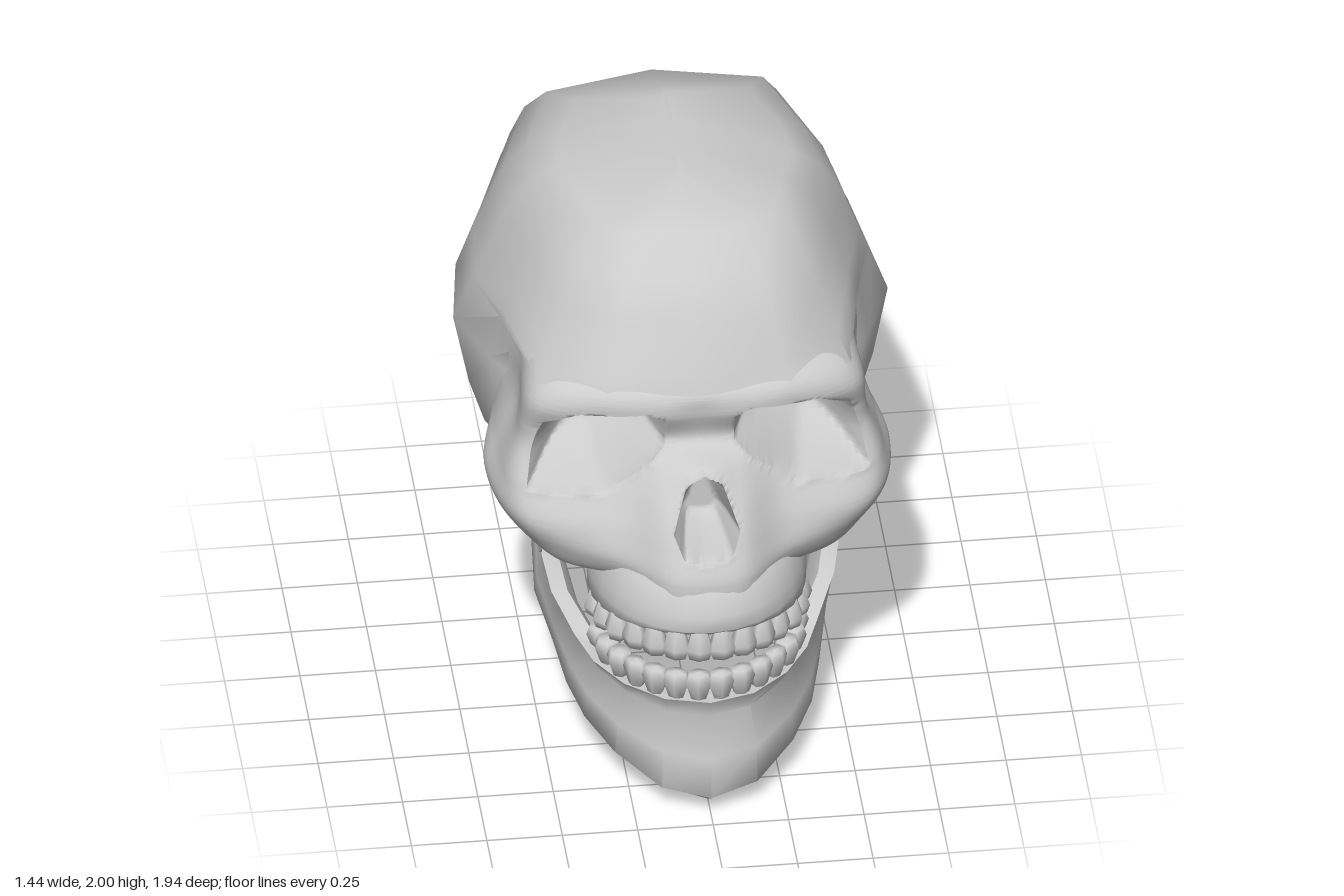
import * as THREE from 'three';
import { toCreasedNormals } from 'three/addons/utils/BufferGeometryUtils.js';

const V = (x, y, z) => new THREE.Vector3(x, y, z);
const clamp = THREE.MathUtils.clamp;
const material = new THREE.MeshStandardMaterial({ color: 0xcccccc, side: THREE.DoubleSide });

function addMesh(parent, name, geometry) {
  const mesh = new THREE.Mesh(geometry, material);
  mesh.name = name;
  parent.add(mesh);
  return mesh;
}

// Skin over equal-length cross-sections; winding is turned outward from the bounding-box centre.
function loft(sections, { closed = true, caps = true, crease = 1.0 } = {}) {
  const n = sections[0].length, pts = sections.flat(), index = [];
  const span = closed ? n : n - 1;
  for (let i = 0; i < sections.length - 1; i++) {
    for (let j = 0; j < span; j++) {
      const a = i * n + j, b = i * n + (j + 1) % n;
      index.push(a, b, a + n, b, b + n, a + n);
    }
  }
  if (caps) {
    [0, sections.length - 1].forEach((s) => {
      const mid = V(0, 0, 0);
      sections[s].forEach((p) => mid.addScaledVector(p, 1 / n));
      pts.push(mid);
      for (let j = 0; j < n; j++) {
        const a = s * n + j, b = s * n + (j + 1) % n;
        index.push(pts.length - 1, s ? a : b, s ? b : a);
      }
    });
  }
  const centre = new THREE.Box3().setFromPoints(pts).getCenter(V(0, 0, 0));
  let volume = 0;
  for (let k = 0; k < index.length; k += 3) {
    const [a, b, c] = [0, 1, 2].map((m) => pts[index[k + m]].clone().sub(centre));
    volume += a.dot(b.cross(c));
  }
  if (volume < 0) index.reverse();
  const geometry = new THREE.BufferGeometry().setFromPoints(pts);
  geometry.setIndex(index);
  return toCreasedNormals(geometry, crease);
}

// Braincase: horizontal rings [y, front z, back z, forehead half-width, greatest half-width]
function cranium() {
  const rows = [
    [2.0, 0.1, -0.36, 0.01, 0.01], [1.93, 0.36, -0.51, 0.29, 0.39], [1.835, 0.475, -0.72, 0.37, 0.485],
    [1.7, 0.55, -0.845, 0.43, 0.565], [1.55, 0.62, -0.92, 0.48, 0.62], [1.48, 0.645, -0.935, 0.515, 0.645],
    [1.44, 0.6, -0.945, 0.52, 0.66], [1.27, 0.6, -0.975, 0.52, 0.72], [1.02, 0.55, -0.9, 0.5, 0.67],
    [0.87, 0.5, -0.81, 0.44, 0.62], [0.8, -0.05, -0.765, 0.36, 0.59], [0.72, -0.09, -0.71, 0.31, 0.49],
    [0.62, -0.13, -0.64, 0.25, 0.36], [0.51, -0.5, -0.58, 0.06, 0.12],
  ];
  return loft(rows.map(([y, zF, zB, wF, wM]) => {
    const cut = y < 1.47 ? 0.24 : 9; // leaves room for the eye sockets
    const round = y > 1.5 ? 0.11 : 0.085; // how far the forehead corner lies back
    const at = (t) => zF + (zB - zF) * t;
    const half = [
      [0, Math.min(zF, cut)], [0.6 * wF, Math.min(at(0.02), cut)], [wF, Math.min(at(round), cut)],
      [wF + (wM - wF) * 0.55, at(0.35)], [wM, at(0.5)], [0.94 * wM, at(0.69)], [0.74 * wM, at(0.93)], [0, zB],
    ];
    const left = half.slice(1, -1).reverse().map(([x, z]) => [-x, z]);
    return [...half, ...left].map(([x, z]) => V(x, y, z));
  }), { crease: 1.5 });
}

// Signed distance to an outline (positive inside) and the nearest outline point
function outlineDistance(outline, x, y) {
  let best = 1e9, near = null, inside = false;
  outline.forEach(([ax, ay], i) => {
    const [bx, by] = outline[(i + 1) % outline.length];
    const dx = bx - ax, dy = by - ay;
    const t = clamp(((x - ax) * dx + (y - ay) * dy) / (dx * dx + dy * dy), 0, 1);
    const px = ax + t * dx, py = ay + t * dy, d = Math.hypot(x - px, y - py);
    if (d < best) { best = d; near = [px, py]; }
    if ((ay > y) !== (by > y) && x < ax + (y - ay) * dx / dy) inside = !inside;
  });
  return { d: inside ? best : -best, near };
}

// Face: a spline sheet from temple to temple, with eye sockets and nose opening pushed in
function face() {
  // [y, midline z, nose-side z, then x,z at inner cheek, cheekbone, arch and arch end]
  const rows = [
    [1.56, 0.52, 0.52, 0.3, 0.5, 0.45, 0.4, 0.48, 0.22, 0.53, 0],
    [1.48, 0.64, 0.635, 0.3, 0.62, 0.505, 0.51, 0.545, 0.25, 0.58, 0],
    [1.41, 0.645, 0.65, 0.3, 0.63, 0.54, 0.525, 0.555, 0.25, 0.6, 0],
    [1.29, 0.62, 0.61, 0.26, 0.57, 0.555, 0.49, 0.558, 0.25, 0.61, 0],
    [1.225, 0.75, 0.69, 0.26, 0.6, 0.565, 0.485, 0.57, 0.25, 0.61, 0],
    [1.1, 0.83, 0.8, 0.26, 0.68, 0.595, 0.55, 0.625, 0.25, 0.6, -0.04],
    [1.0, 0.88, 0.86, 0.27, 0.73, 0.585, 0.6, 0.67, 0.27, 0.6, -0.06],
    [0.9, 0.92, 0.9, 0.27, 0.755, 0.54, 0.58, 0.635, 0.27, 0.58, -0.06],
    [0.81, 0.9, 0.88, 0.26, 0.69, 0.45, 0.55, 0.57, 0.27, 0.55, -0.04],
    [0.9, 0.6, 0.59, 0.2, 0.55, 0.36, 0.45, 0.46, 0.25, 0.5, 0],
  ];
  const column = (c, side) => new THREE.CatmullRomCurve3(rows.map((r) => {
    const lift = r[0] < 0.85 ? [0, 0, 0, -0.01, 0.04, 0.05][c] : 0;
    if (c < 2) return V(side * c * 0.12, r[0], r[1 + c]);
    return V(side * r[c * 2 - 1], r[0] + lift, r[c * 2]);
  }));
  const columns = [5, 4, 3, 2, 1].map((c) => column(c, -1))
    .concat([0, 1, 2, 3, 4, 5].map((c) => column(c, 1)));
  const socket = [[0.57, 1.095], [0.545, 1.22], [0.51, 1.345], [0.4, 1.41], [0.17, 1.42], [0.115, 1.39],
    [0.115, 1.28], [0.17, 1.23], [0.32, 1.11]];
  const nose = [[0, 1.23], [0.06, 1.2], [0.11, 1.06], [0.08, 0.985], [0, 0.97],
    [-0.08, 0.985], [-0.11, 1.06], [-0.06, 1.2]];
  const NU = 150, NV = 108, sheet = [];
  for (let i = 0; i <= NV; i++) {
    const across = new THREE.CatmullRomCurve3(columns.map((c) => c.getPoint(i / NV)));
    sheet.push(Array.from({ length: NU + 1 }, (_, j) => {
      const u = j / NU, p = across.getPoint(u);
      if (Math.abs(2 * u - 1) > 0.7 || i > NV * 0.85) return p;
      for (const [outline, floor, reach] of [[socket, 0.35, 0.15], [nose, 0.64, 0.06]]) {
        const side = outline === socket && p.x < 0 ? -1 : 1;
        const { d, near } = outlineDistance(outline, p.x * side, p.y);
        if (Math.abs(d) < 0.0085) { // settle onto the rim
          p.x = near[0] * side;
          p.y = near[1];
        } else if (d > 0) {
          const s = Math.sin(Math.min(1, d / reach) * Math.PI / 2);
          p.z += (Math.min(p.z, floor) - p.z) * s;
        }
      }
      return p;
    }));
  }
  return loft(sheet, { closed: false, caps: false, crease: 1.2 });
}

// Upper jaw: a horseshoe section swept round the dental arch, roofed by the palate
function upperJaw() {
  const sections = [];
  for (let k = -7; k <= 7; k++) {
    const a = k * 0.235, gum = 0.735 - 0.09 * (1 - Math.cos(a));
    const profile = [[0.7, 0.97], [0.93, 0.88], [1.0, 0.8], [1.02, 0.75], [1.01, gum + 0.01], [0.94, gum - 0.015],
      [0.82, gum], [0.72, 0.75], [0.05, 0.78], [0.05, 0.95]];
    sections.push(profile.map(([r, y]) => V(0.355 * r * Math.sin(a), y, 0.53 + 0.425 * r * Math.cos(a))));
  }
  return loft(sections);
}

// Underside between palate and braincase, [z, bottom y, half-width]
function skullBase() {
  const rows = [[0.56, 0.78, 0.3], [0.46, 0.825, 0.3], [0.3, 0.85, 0.32], [-0.08, 0.84, 0.34]];
  return loft(rows.map(([z, y, w]) => [V(-w, 0.95, z), V(-w, y + 0.03, z), V(-0.6 * w, y, z),
    V(0.6 * w, y, z), V(w, y + 0.03, z), V(w, 0.95, z)]));
}

// Lower jaw: sections from chin round to the rising branches, [lower edge x,y,z, upper edge x,y,z]
function lowerJaw() {
  const half = [
    [0, 0, 0.95, 0, 0.45, 0.95], [0.16, 0.03, 0.905, 0.15, 0.45, 0.91], [0.3, 0.085, 0.74, 0.275, 0.44, 0.79],
    [0.38, 0.125, 0.57, 0.36, 0.44, 0.65], [0.42, 0.155, 0.4, 0.41, 0.47, 0.53],
    [0.435, 0.19, 0.23, 0.475, 0.58, 0.43], [0.495, 0.36, 0.15, 0.5, 0.69, 0.37], [0.5, 0.57, 0.07, 0.49, 0.74, 0.355],
  ];
  const stations = half.slice(1).reverse().map(([a, b, c, d, e, f]) => [-a, b, c, -d, e, f]).concat(half);
  const profile = [[0.01, 1], [0.05, 0.82], [0, 0.5], [0, 0.16], [0.1, 0], [0.17, 0.12], [0.15, 0.8], [0.1, 1]];
  return loft(stations.map(([x0, y0, z0, x1, y1, z1]) => {
    const low = V(x0, y0, z0), high = V(x1, y1, z1);
    const inward = V(-x0, 0, Math.min(0, 0.3 - z0)).normalize();
    const thick = 0.6 + 0.4 * clamp((z0 - 0.28) / 0.67, 0, 1);
    return profile.map(([d, t]) => low.clone().lerp(high, t).addScaledVector(inward, d * thick));
  }));
}

// Top of each jaw branch: two upright processes with a notch between
function jawProcesses(side) {
  const outline = [[0.355, 0.7], [0.37, 0.88], [0.24, 0.9], [0.235, 0.76], [0.17, 0.69], [0.08, 0.72],
    [0.06, 0.87], [-0.085, 0.85], [-0.03, 0.75], [0.07, 0.57], [0.2, 0.57]];
  const shape = new THREE.Shape(outline.map(([z, y]) => new THREE.Vector2(z, y)));
  const geometry = new THREE.ExtrudeGeometry(shape, { depth: 0.1, bevelEnabled: false });
  geometry.rotateY(-Math.PI / 2).translate(side > 0 ? 0.49 : -0.39, 0, 0);
  return geometry;
}

function toothRow(name, upper) {
  const row = new THREE.Group();
  row.name = name;
  const profile = [[0.001, -0.07], [0.026, -0.06], [0.046, 0.01], [0.036, 0.045], [0.001, 0.052]];
  const crown = new THREE.LatheGeometry(profile.map(([r, y]) => new THREE.Vector2(r, y)), 6);
  const [rx, rz, z0] = upper ? [0.335, 0.405, 0.53] : [0.325, 0.385, 0.52];
  for (let i = 0; i < 7; i++) {
    for (const side of [-1, 1]) {
      const a = side * (i + 0.5) * 0.225, bend = 1 - Math.cos(a);
      const tooth = addMesh(row, upper ? 'upperTooth' : 'lowerTooth', crown);
      const y = upper ? 0.68 - 0.06 * bend : 0.505 - 0.02 * bend;
      tooth.position.set(rx * Math.sin(a), y, z0 + rz * Math.cos(a));
      tooth.rotation.set(upper ? Math.PI : 0, upper ? -a : a, 0);
      tooth.scale.set(1.05, upper ? 1.05 - 0.25 * bend : 0.95 - 0.15 * bend, i > 3 ? 1 : 0.75);
    }
  }
  return row;
}

export function createModel() {
  const skull = new THREE.Group();
  skull.name = 'skull';
  addMesh(skull, 'cranium', cranium());
  addMesh(skull, 'face', face());
  addMesh(skull, 'upperJaw', upperJaw());
  addMesh(skull, 'skullBase', skullBase());
  skull.add(toothRow('upperTeeth', true));

  const mandible = new THREE.Group();
  mandible.name = 'mandible';
  addMesh(mandible, 'lowerJaw', lowerJaw());
  addMesh(mandible, 'leftJawProcesses', jawProcesses(1));
  addMesh(mandible, 'rightJawProcesses', jawProcesses(-1));
  mandible.add(toothRow('lowerTeeth', false));
  skull.add(mandible);
  return skull;
}
